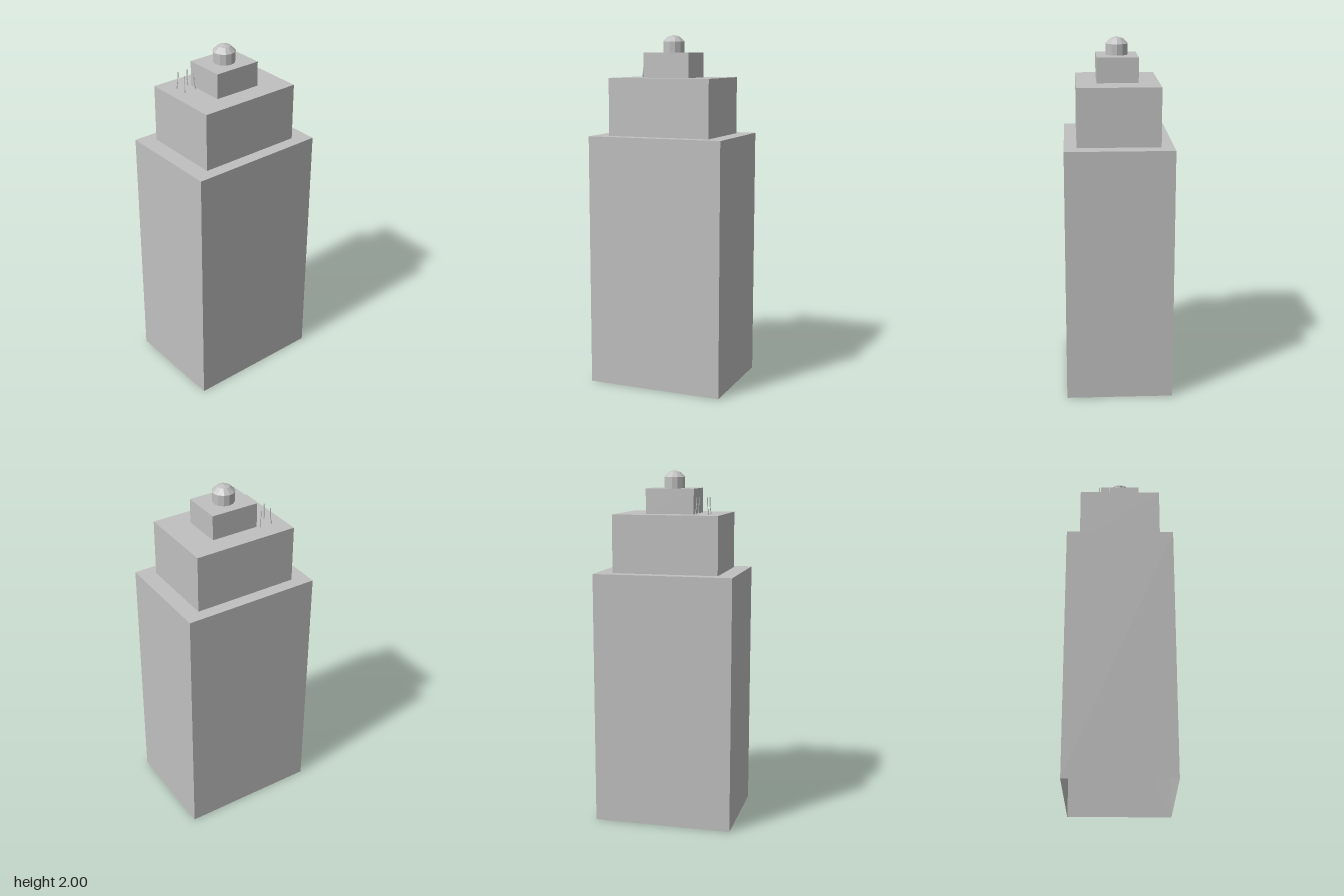
import * as THREE from 'three';

export function createModel() {
  const model = new THREE.Group();
  model.name = 'steppedTower';
  const concrete = new THREE.MeshStandardMaterial({
    color: 0xc0c0c0, flatShading: true, side: THREE.DoubleSide,
  });
  concrete.name = 'concrete grey';

  function add(name, geometry, parent = model) {
    const mesh = new THREE.Mesh(geometry, concrete);
    mesh.name = name;
    parent.add(mesh);
    return mesh;
  }

  // Tiers are shells with walls and a roof but no floor
  function tier(name, width, depth, bottom, top) {
    const box = new THREE.BoxGeometry(width, top - bottom, depth);
    const index = Array.from(box.index.array);
    index.splice(18, 6); // drop the floor face
    box.setIndex(index);
    box.clearGroups();
    box.translate(0, (bottom + top) / 2, 0);
    add(name, box);
  }
  tier('mainBlock', 0.788, 0.6, 0, 1.435);
  tier('middleTier', 0.6, 0.46, 1.435, 1.76);
  tier('topTier', 0.275, 0.23, 1.76, 1.9);

  // Water tank: open drum under a shallow faceted dome
  const tank = new THREE.Group();
  tank.name = 'roofTank';
  model.add(tank);
  add('tankDrum', new THREE.CylinderGeometry(0.06, 0.06, 0.063, 12, 1, true), tank)
    .position.y = 1.9315;
  const domeProfile = [[0.064, 1.962], [0.035, 1.99], [0, 2]]
    .map(([r, y]) => new THREE.Vector2(r, y));
  add('tankDome', new THREE.LatheGeometry(domeProfile, 12), tank);

  // Four thin roof rods, bent slightly toward their shared centre
  const rods = new THREE.Group();
  rods.name = 'roofRods';
  rods.position.set(-0.187, 1.76, -0.094);
  model.add(rods);
  for (const sx of [-1, 1]) {
    for (const sz of [-1, 1]) {
      const at = (d, y) => new THREE.Vector3(sx * d, y, sz * d);
      const path = new THREE.CatmullRomCurve3([at(0.036, 0), at(0.031, 0.05), at(0.03, 0.093)]);
      add('rod', new THREE.TubeGeometry(path, 4, 0.0025, 5), rods);
      const foot = add('rodFoot', new THREE.CylinderGeometry(0.003, 0.005, 0.014, 6), rods);
      foot.position.copy(at(0.0355, 0.007));
    }
  }
  return model;
}
